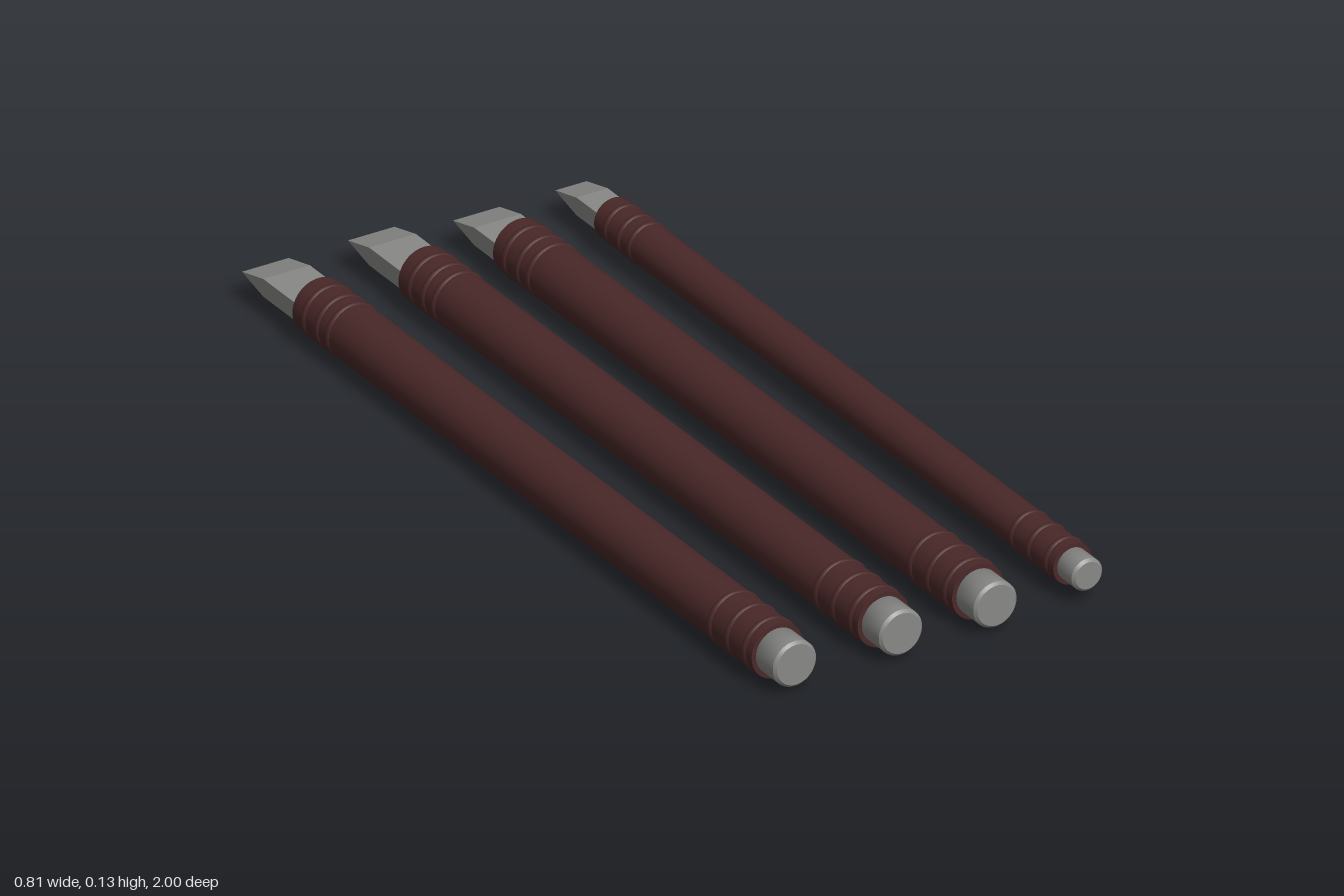
import * as THREE from 'three';

const wood = new THREE.MeshStandardMaterial({ color: 0x4a2828 });
const steel = new THREE.MeshStandardMaterial({ color: 0x888886 });
const AXIS_Y = 0.064;

function add(parent, name, geometry, material) {
  const mesh = new THREE.Mesh(geometry, material);
  mesh.name = name;
  parent.add(mesh);
  return mesh;
}

// Wedge-ended blade: side profile extruded across its width
function bladeGeometry(width, tip) {
  const t = 0.02, root = 0.76;
  const profile = new THREE.Shape([
    new THREE.Vector2(root, -t),
    new THREE.Vector2(tip - 0.08, -t),
    new THREE.Vector2(tip, 0),
    new THREE.Vector2(tip - 0.08, t),
    new THREE.Vector2(root, t),
  ]);
  const geo = new THREE.ExtrudeGeometry(profile, { depth: width, bevelEnabled: false });
  geo.translate(0, 0, -width / 2);
  return geo.rotateY(Math.PI / 2); // profile length now runs to -z
}

function makeChisel({ x, radius, capRadius, capEnd, bladeWidth, tip }) {
  const chisel = new THREE.Group();
  chisel.name = 'chisel';
  chisel.position.set(x, AXIS_Y, 0);

  // Long round handle
  const handle = new THREE.CylinderGeometry(radius, radius, 1.73, 48).rotateX(Math.PI / 2);
  add(chisel, 'handle', handle, wood).position.z = 0.065;

  // Shallow grip rings near both ends
  const tube = 0.012;
  for (const z of [0.9, 0.835, 0.77, -0.67, -0.71, -0.76]) {
    const ring = add(chisel, 'gripRing', new THREE.TorusGeometry(radius + 0.002 - tube, tube, 12, 48), wood);
    ring.scale.x = 1.03;
    ring.position.z = z;
  }

  // Striking cap with a slightly eased rim
  const r = capRadius, e = 0.006;
  const capProfile = [[0, 0.9], [r, 0.9], [r, capEnd - e], [r, capEnd - e], [r - e, capEnd], [r - e, capEnd], [0, capEnd]]
    .map(([a, b]) => new THREE.Vector2(a, b));
  add(chisel, 'strikingCap', new THREE.LatheGeometry(capProfile, 40).rotateX(Math.PI / 2), steel);

  add(chisel, 'blade', bladeGeometry(bladeWidth, tip), steel);
  return chisel;
}

export function createModel() {
  const set = new THREE.Group();
  set.name = 'chiselSet';
  const big = { radius: 0.061, capRadius: 0.051, capEnd: 1, bladeWidth: 0.11 };
  const specs = [
    { ...big, x: -0.34, tip: 1 },
    { ...big, x: -0.09, tip: 1 },
    { ...big, x: 0.133, tip: 0.96 },
    { x: 0.356, radius: 0.0455, capRadius: 0.036, capEnd: 0.99, bladeWidth: 0.074, tip: 0.96 },
  ];
  for (const spec of specs) set.add(makeChisel(spec));
  return set;
}
